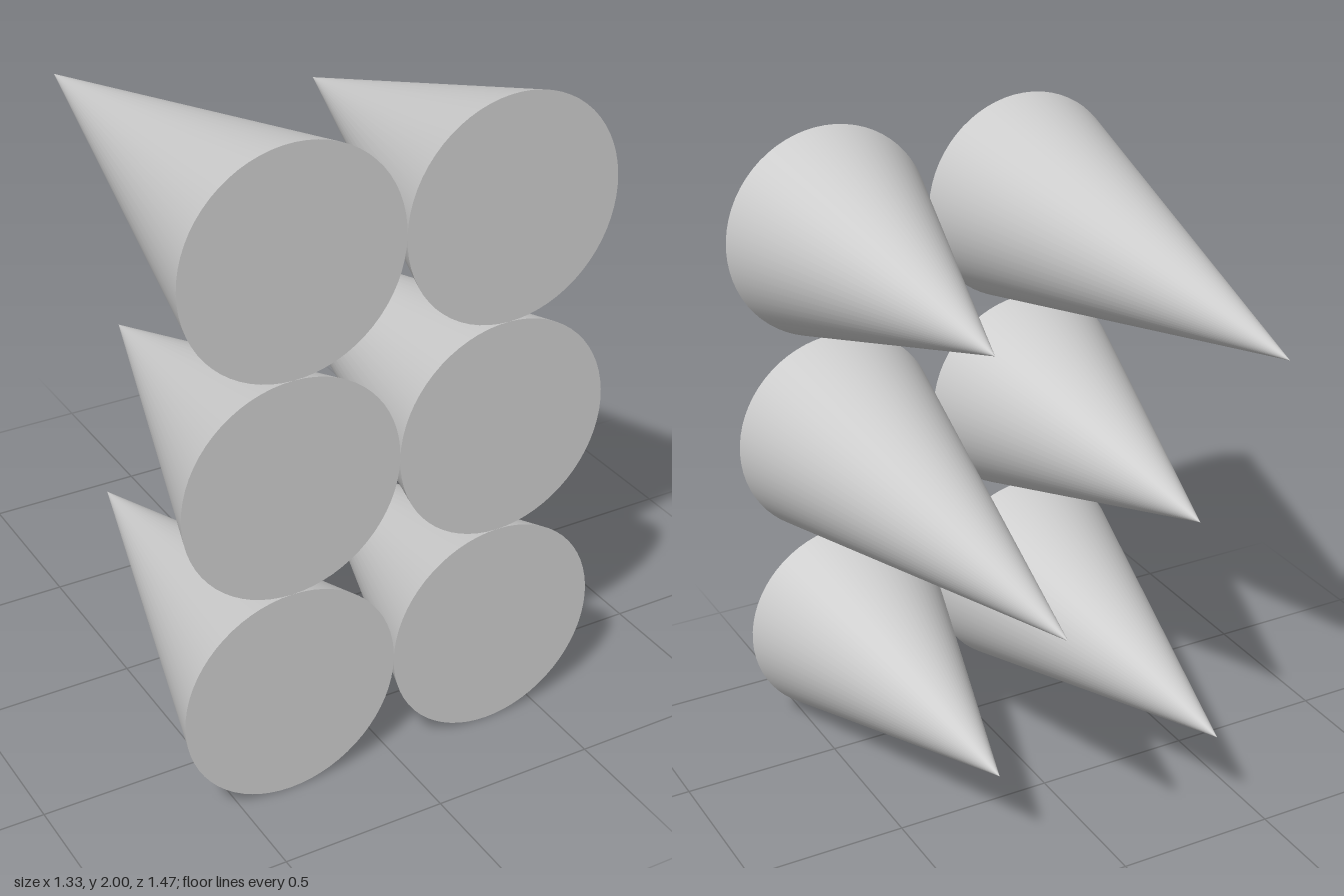
import * as THREE from 'three';

const RADIUS = 1 / 3;
const BASE_Z = 2.2 * RADIUS;

// Cone lengths from the bottom row to the top row
const COLUMNS = [
  { name: 'left', x: RADIUS, lengths: [3.2, 4.4, 3.2] },
  { name: 'right', x: -RADIUS, lengths: [3.6, 3.2, 4.4] },
];
const ROWS = ['Bottom', 'Middle', 'Top'];

export function createModel() {
  const group = new THREE.Group();
  group.name = 'spikeCluster';
  const material = new THREE.MeshStandardMaterial({ color: 0xcccccc });

  // Touching cones with flush bases at the front and tips pointing back
  for (const { name, x, lengths } of COLUMNS) {
    lengths.forEach((ratio, row) => {
      const length = ratio * RADIUS;
      const geometry = new THREE.ConeGeometry(RADIUS, length, 64);
      geometry.rotateX(-Math.PI / 2);
      const cone = new THREE.Mesh(geometry, material);
      cone.name = `${name}${ROWS[row]}Cone`;
      cone.position.set(x, RADIUS * (1 + 2 * row), BASE_Z - length / 2);
      group.add(cone);
    });
  }
  return group;
}
